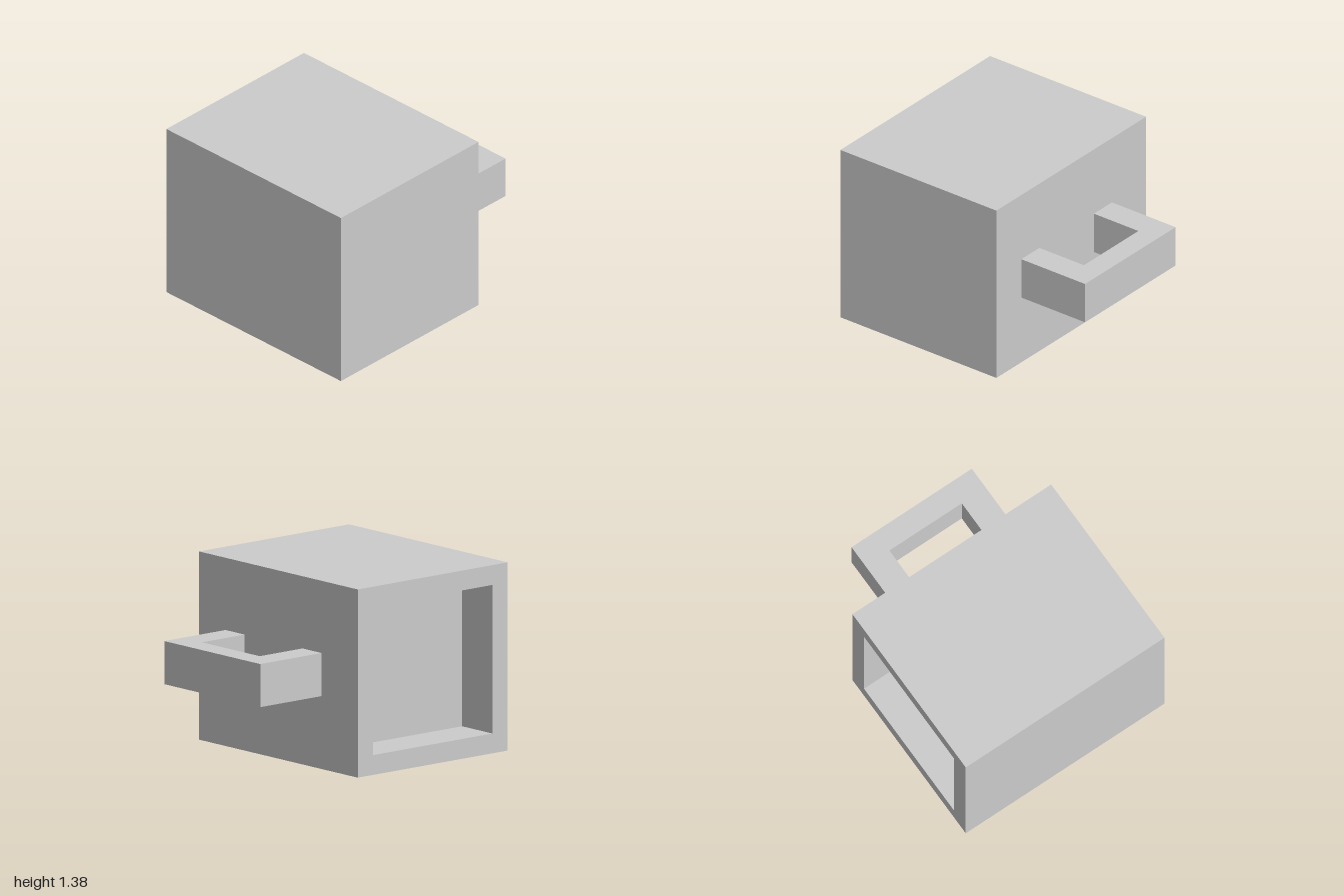
import * as THREE from 'three';

const material = new THREE.MeshStandardMaterial({ color: 0xcccccc, flatShading: true });

function addMesh(group, name, geometry) {
  const mesh = new THREE.Mesh(geometry, material);
  mesh.name = name;
  group.add(mesh);
  return mesh;
}

// Closed outline from [x, y] corners
const outline = (Type, corners) => new Type(corners.map(([x, y]) => new THREE.Vector2(x, y)));
const rect = (x0, y0, x1, y1) => [[x0, y0], [x1, y0], [x1, y1], [x0, y1]];

export function createModel() {
  const group = new THREE.Group();
  group.name = 'mug';

  const left = -1, right = 0.42, height = 1.376, halfDepth = 0.865;
  const wall = 0.145, recess = 0.33;

  // Solid part of the body, in front of the recess
  const solidDepth = 2 * halfDepth - recess;
  const body = addMesh(group, 'body', new THREE.BoxGeometry(right - left, height, solidDepth));
  body.position.set((left + right) / 2, height / 2, halfDepth - solidDepth / 2);

  // Square rim around the recess in the back
  const rimShape = outline(THREE.Shape, rect(left, 0, right, height));
  rimShape.holes.push(outline(THREE.Path, rect(left + wall, wall, right - wall, height - wall)));
  const rim = addMesh(group, 'rim',
    new THREE.ExtrudeGeometry(rimShape, { depth: recess, bevelEnabled: false }));
  rim.position.z = -halfDepth;

  // U-shaped handle, drawn in plan (x, -z) and extruded upwards
  const handleShape = outline(THREE.Shape, [
    [right, -0.577], [1, -0.577], [1, 0.47], [right, 0.47],
    [right, 0.262], [0.825, 0.262], [0.825, -0.368], [right, -0.368],
  ]);
  const handle = addMesh(group, 'handle',
    new THREE.ExtrudeGeometry(handleShape, { depth: 0.315, bevelEnabled: false }));
  handle.rotation.x = -Math.PI / 2;
  handle.position.y = 0.533;

  return group;
}
